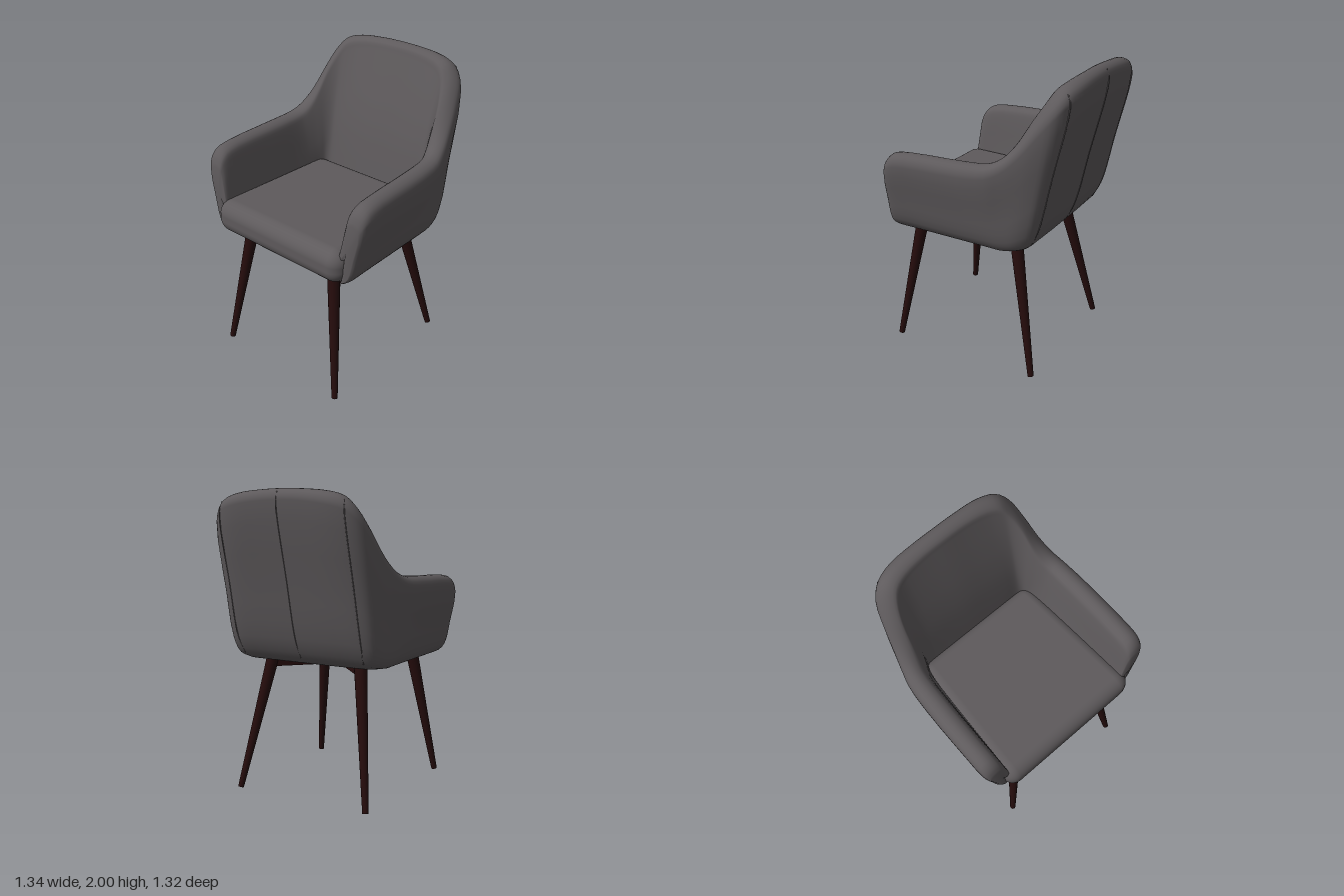
import * as THREE from 'three';
import { RoundedBoxGeometry } from 'three/addons/geometries/RoundedBoxGeometry.js';

const V = (x, y, z) => new THREE.Vector3(x, y, z);

// Shell stations from arm front to middle of back:
// rim x, y, z, outward angle, half thickness, outer bottom x, z, inner bottom x, z
const STATIONS = [
  [.58, 1.32, .585, 0, .048, .515, .60, .475, .60],
  [.59, 1.385, .56, 0, .064, .53, .585, .475, .585],
  [.596, 1.43, .51, 0, .071, .54, .54, .475, .54],
  [.598, 1.45, .40, 0, .072, .54, .42, .47, .42],
  [.592, 1.465, 0, 0, .073, .54, .02, .45, .02],
  [.58, 1.48, -.17, 5, .07, .54, -.14, .44, -.17],
  [.56, 1.52, -.25, 15, .067, .54, -.22, .435, -.25],
  [.537, 1.61, -.335, 30, .065, .535, -.29, .43, -.285],
  [.51, 1.76, -.435, 45, .068, .52, -.34, .42, -.305],
  [.472, 1.88, -.515, 52, .076, .495, -.375, .40, -.315],
  [.418, 1.95, -.56, 65, .076, .45, -.39, .37, -.32],
  [.32, 1.98, -.588, 80, .072, .35, -.395, .30, -.32],
  [.16, 1.995, -.598, 88, .065, .17, -.40, .15, -.32],
  [0, 2, -.598, 90, .064, 0, -.40, 0, -.32],
];

// Wall cross-section: underside, outer face, rounded rim, inner face
function section([x, y, z, angle, r, ox, oz, ix, iz]) {
  const a = THREE.MathUtils.degToRad(angle);
  const n = V(Math.cos(a), 0, -Math.sin(a));
  const rim = V(x, y, z);
  const at = (side, drop) => rim.clone().addScaledVector(n, side * r).add(V(0, -drop * r, 0));
  const outer = at(1, 1.1), inner = at(-1, 1.1);
  const lift = Math.max(0, -.25 - oz) * .25; // underside rises towards the back
  const o = V(ox, .905 + lift, oz), i = V(ix, 1, iz);
  const bulge = (t, d) => o.clone().lerp(outer, t).addScaledVector(n, d);
  const padding = inner.clone().lerp(i, .5).addScaledVector(n, -.03 * Math.sin(a));
  return [V(ox * .88, .887 + lift * .4, oz * .88), o, bulge(.13, .03), bulge(.5, .022), outer,
    at(.72, .3), rim, at(-.72, .3), inner, padding, i];
}

function shellGeometry(sections) {
  const U = (sections.length - 1) * 3, N = 30;
  const rails = sections[0].map((_, j) => new THREE.CatmullRomCurve3(sections.map(s => s[j])));
  const pos = [], index = [];
  for (let i = 0; i <= U; i++) {
    const ring = new THREE.CatmullRomCurve3(rails.map(c => c.getPoint(i / U)));
    pos.push(0, .885, .1);
    for (let j = 0; j <= N; j++) pos.push(...ring.getPoint(j / N).toArray());
  }
  const row = N + 2;
  for (let i = 0; i < U; i++) for (let j = 0; j < row - 1; j++) {
    const a = i * row + j, b = a + row;
    if (j > 0) index.push(a, b, a + 1);
    index.push(b, b + 1, a + 1);
  }
  // Close the two arm fronts
  for (const start of [0, U * row]) {
    const c = pos.length / 3, mid = [0, 0, 0];
    for (let j = 1; j < row; j++) for (let k = 0; k < 3; k++) mid[k] += pos[(start + j) * 3 + k] / (row - 1);
    pos.push(mid[0], mid[1], mid[2] + .015);
    for (let j = 1; j < row; j++) {
      const p = start + j, q = start + (j === row - 1 ? 1 : j + 1);
      if (start === 0) index.push(c, p, q); else index.push(c, q, p);
    }
  }
  const g = new THREE.BufferGeometry();
  g.setAttribute('position', new THREE.Float32BufferAttribute(pos, 3));
  g.setIndex(index);
  g.computeVertexNormals();
  return g;
}

// Seat cushion, narrower towards the back
function cushionGeometry() {
  const g = new RoundedBoxGeometry(1.08, .228, 1, 6, .095);
  g.translate(0, 1.004, .16);
  const p = g.attributes.position;
  for (let i = 0; i < p.count; i++) {
    const t = p.getZ(i) + .34;
    p.setX(i, p.getX(i) * (.89 + .11 * t));
  }
  return g;
}

export function createModel() {
  const model = new THREE.Group();
  const fabric = new THREE.MeshStandardMaterial({ color: 0x5e5a5c });
  fabric.name = 'grey fabric';
  const wood = new THREE.MeshStandardMaterial({ color: 0x250c0c });
  wood.name = 'dark wood';
  const add = (geometry, material, name) => {
    const mesh = new THREE.Mesh(geometry, material);
    mesh.name = name;
    model.add(mesh);
    return mesh;
  };

  // Upholstery
  const half = STATIONS.map(section);
  const mirror = s => s.map(p => V(-p.x, p.y, p.z));
  const sections = [...half, ...half.slice(0, -1).reverse().map(mirror)];
  add(shellGeometry(sections), fabric, 'backAndArms');
  add(cushionGeometry(), fabric, 'seatCushion');

  // Seams on the back
  const seam = (s, name) =>
    add(new THREE.TubeGeometry(new THREE.CatmullRomCurve3(s.slice(1, 6)), 24, .004, 6), fabric, name);
  seam(half[13], 'backCentreSeam');
  seam(half[10], 'leftBackSeam');
  seam(mirror(half[10]), 'rightBackSeam');

  // Tapered splayed legs
  const up = V(0, 1, 0);
  const leg = (top, foot, name) => {
    const d = top.clone().sub(foot);
    const mesh = add(new THREE.CylinderGeometry(.043, .02, d.length(), 16), wood, name);
    mesh.position.copy(top).add(foot).multiplyScalar(.5);
    mesh.quaternion.setFromUnitVectors(up, d.normalize());
  };
  for (const [side, label] of [[1, 'left'], [-1, 'right']]) {
    leg(V(side * .36, .895, .49), V(side * .49, .004, .637), label + 'FrontLeg');
    leg(V(side * .34, .895, -.225), V(side * .486, .004, -.418), label + 'BackLeg');

    // Diagonal rail to the opposite back leg
    const a = V(side * .36, .86, .49), b = V(-side * .34, .86, -.225);
    const rail = add(new THREE.BoxGeometry(.05, .055, a.distanceTo(b)), wood, label + 'CrossRail');
    rail.position.copy(a).add(b).multiplyScalar(.5);
    rail.rotation.y = Math.atan2(a.x - b.x, a.z - b.z);
  }
  return model;
}
